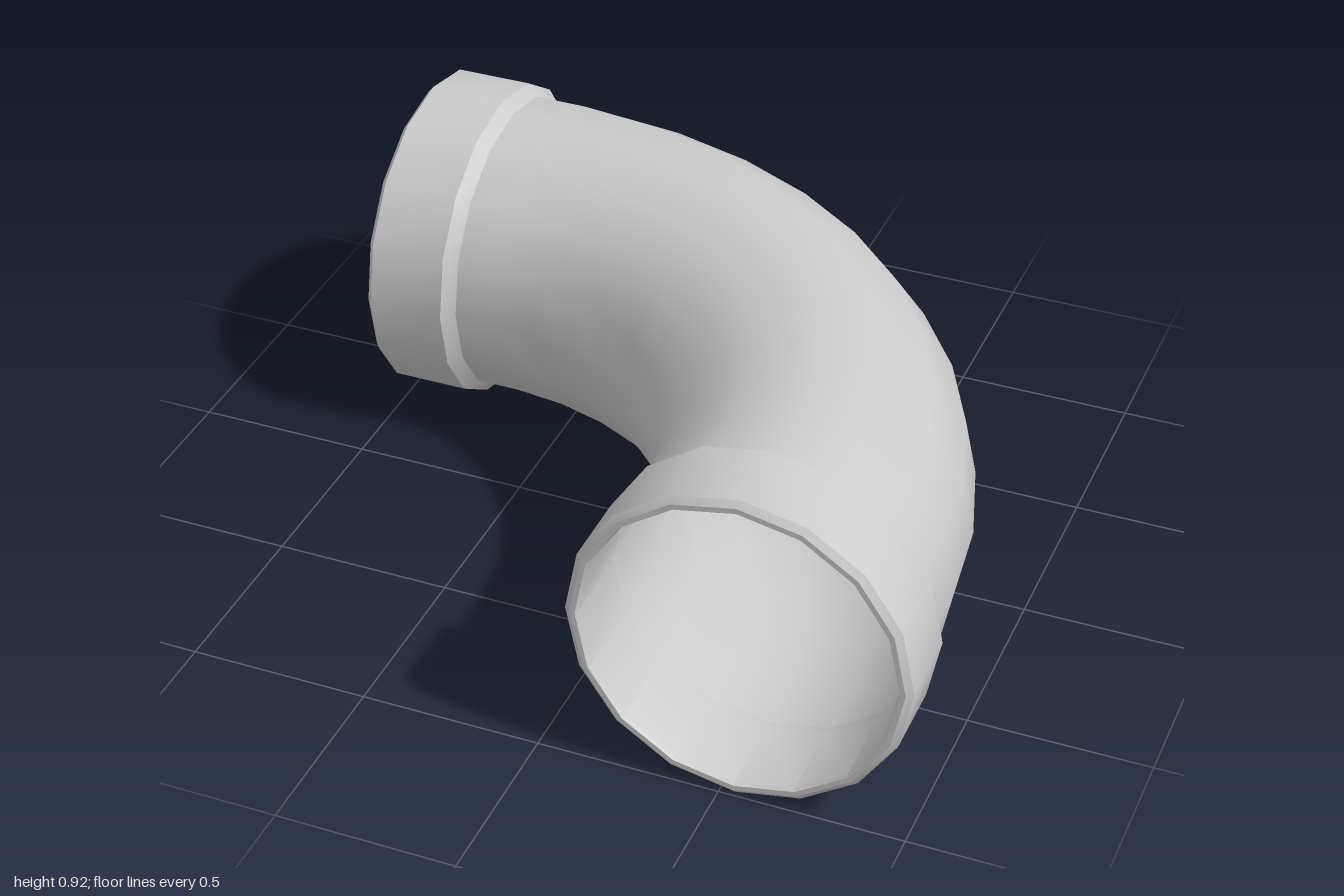
import * as THREE from 'three';
import { toCreasedNormals } from 'three/addons/utils/BufferGeometryUtils.js';

const SIDES = 16;
const PIPE_R = 0.427;
const AXIS = 0.54;        // offset of both openings from the centre
const HEIGHT = 0.463;     // height of the pipe axis
const BEND = { c: 0.645, r: 1.185, steps: 9, start: THREE.MathUtils.degToRad(2.5) };

const material = new THREE.MeshStandardMaterial({ color: 0xcccccc, side: THREE.DoubleSide });

// Thin-walled quarter bend: an open cylinder whose rows are laid along an arc
// with a short straight run at each end.
function bentPipeGeometry() {
  const rows = BEND.steps + 2;
  const geo = new THREE.CylinderGeometry(PIPE_R, PIPE_R, 1, SIDES, rows, true);
  const { position, normal } = geo.attributes;
  const p = new THREE.Vector3();
  const n = new THREE.Vector3();
  const m = new THREE.Matrix4();

  for (let i = 0; i <= rows; i++) {
    const first = i === 0;
    const last = i === rows;
    const t = (rows - 1 - i) / BEND.steps;
    const a = first ? Math.PI / 2 : last ? 0
      : BEND.start + t * (Math.PI / 2 - 2 * BEND.start);
    const s = Math.sin(a);
    const c = Math.cos(a);
    const run = first ? 0.095 : last ? -0.095 : 0;
    m.makeBasis(
      new THREE.Vector3(s, 0, -c),
      new THREE.Vector3(c, 0, s),
      new THREE.Vector3(0, -1, 0)
    );
    m.setPosition(
      -BEND.c + BEND.r * s + run * c,
      HEIGHT,
      BEND.c - BEND.r * c + run * s
    );
    for (let j = 0; j <= SIDES; j++) {
      const k = i * (SIDES + 1) + j;
      p.fromBufferAttribute(position, k).setY(0).applyMatrix4(m);
      n.fromBufferAttribute(normal, k).transformDirection(m);
      position.setXYZ(k, p.x, p.y, p.z);
      normal.setXYZ(k, n.x, n.y, n.z);
    }
  }
  return geo;
}

// Socket collar: chamfered shoulder, bevelled rim and inner wall.
function collarGeometry() {
  const profile = [
    [PIPE_R, 0.735], [0.46, 0.768], [0.46, 0.985], [0.443, 1],
    [0.428, 1], [0.424, 0.99], [0.424, 0.765], [PIPE_R, 0.735],
  ].map(([r, y]) => new THREE.Vector2(r, y));
  return toCreasedNormals(new THREE.LatheGeometry(profile, SIDES), 0.5);
}

export function createModel() {
  const model = new THREE.Group();
  model.name = 'pipeElbow';

  const pipe = new THREE.Mesh(bentPipeGeometry(), material);
  pipe.name = 'bentPipe';
  model.add(pipe);

  const collarGeo = collarGeometry();

  // Opening facing the front
  const front = new THREE.Mesh(collarGeo, material);
  front.name = 'frontCollar';
  front.rotation.x = Math.PI / 2;
  front.position.set(AXIS, HEIGHT, 0);

  // Opening facing the side
  const side = new THREE.Mesh(collarGeo, material);
  side.name = 'sideCollar';
  side.rotation.z = Math.PI / 2;
  side.position.set(0, HEIGHT, -AXIS);

  model.add(front, side);
  return model;
}
